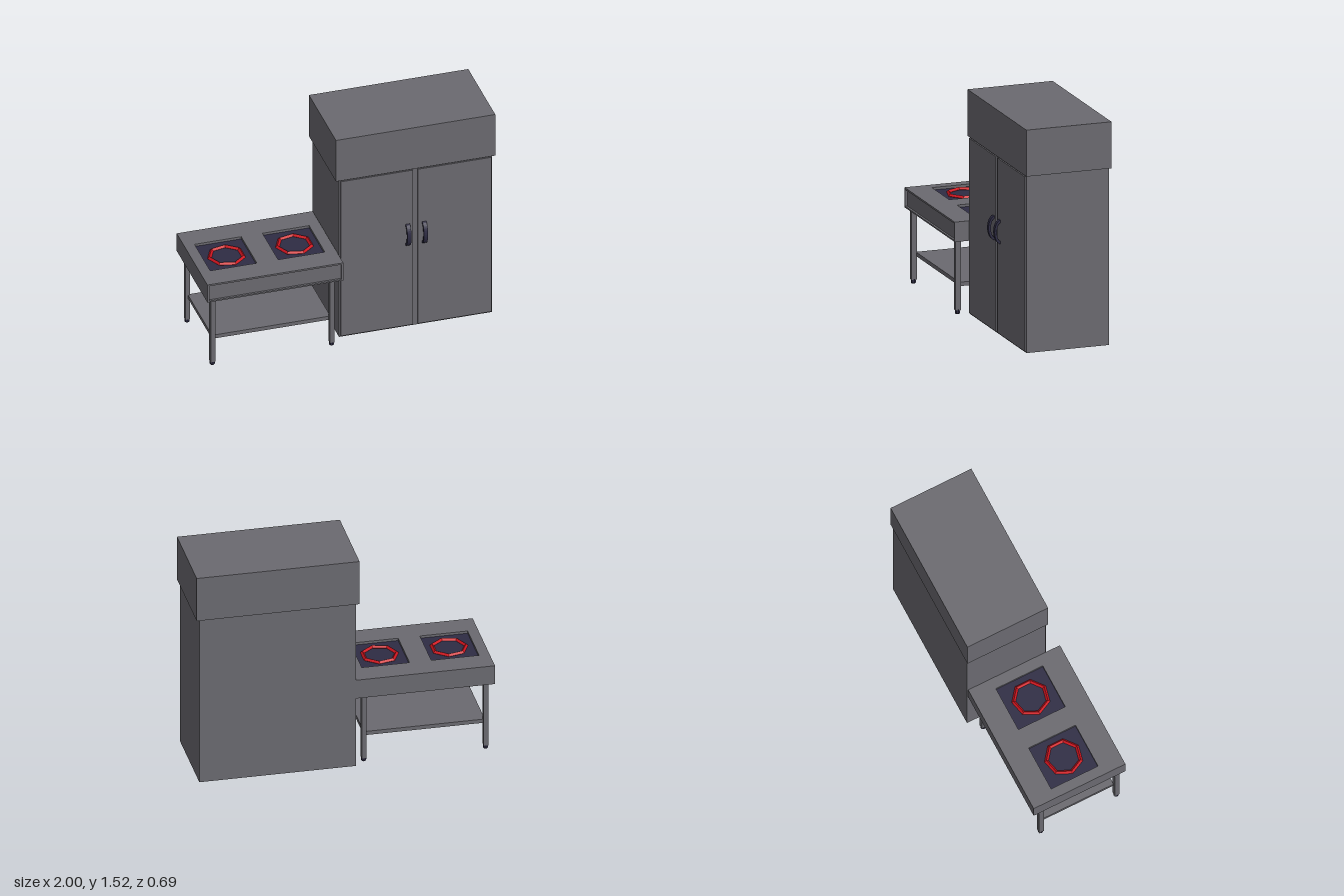
import * as THREE from 'three';

const paint = (color) => new THREE.MeshStandardMaterial({ color, flatShading: true });

export function createModel() {
  const model = new THREE.Group();
  const steel = paint(0x6b6a70), dark = paint(0x2e2c44), red = paint(0xd0141e);

  const add = (parent, name, geometry, material) => {
    const mesh = new THREE.Mesh(geometry, material);
    mesh.name = name;
    parent.add(mesh);
    return mesh;
  };
  // Box given by its two extreme corners
  const box = (parent, name, x0, x1, y0, y1, z0, z1, material = steel) =>
    add(parent, name, new THREE.BoxGeometry(x1 - x0, y1 - y0, z1 - z0), material)
      .position.set((x0 + x1) / 2, (y0 + y1) / 2, (z0 + z1) / 2);
  const rect = (target, x0, x1, y0, y1) => {
    target.moveTo(x0, y0).lineTo(x1, y0).lineTo(x1, y1).lineTo(x0, y1).closePath();
    return target;
  };
  // Flat panel with rectangular openings
  const panel = (outer, holes, depth) => {
    const shape = rect(new THREE.Shape(), ...outer);
    holes.forEach((h) => shape.holes.push(rect(new THREE.Path(), ...h)));
    return new THREE.ExtrudeGeometry(shape, { depth, bevelEnabled: false });
  };

  // Cooking table
  const table = new THREE.Group();
  table.name = 'cookingTable';
  model.add(table);
  box(table, 'tableBody', -1, -0.07, 0.505, 0.62, -0.33, 0.33);
  const front = add(table, 'frontFrame',
    panel([-1, -0.07, 0.505, 0.64], [[-0.987, -0.083, 0.515, 0.628]], 0.015), steel);
  front.position.z = 0.33;

  const plates = [[-0.93, -0.61], [-0.465, -0.145]];
  const top = panel([-1, -0.07, -0.33, 0.33], plates.map(([a, b]) => [a, b, -0.18, 0.165]), 0.02);
  add(table, 'tableTop', top.rotateX(-Math.PI / 2), steel).position.y = 0.62;

  // Sunken hob plates with a seven-sided heating ring each
  plates.forEach(([a, b]) => {
    box(table, 'hobPlate', a, b, 0.615, 0.623, -0.165, 0.18, dark);
    const ring = new THREE.TorusGeometry(0.115, 0.014, 4, 7).rotateX(Math.PI / 2).rotateY(Math.PI);
    add(table, 'heatingRing', ring, red).position.set((a + b) / 2 + 0.003, 0.626, 0.01);
  });

  // Legs with rounded feet, and the lower shelf
  for (const x of [-0.953, -0.137]) {
    for (const z of [0.301, -0.255]) {
      box(table, 'leg', x - 0.016, x + 0.016, 0.025, 0.51, z - 0.018, z + 0.018);
      add(table, 'foot', new THREE.CylinderGeometry(0.018, 0.018, 0.022, 8), dark).position.set(x, 0.019, z);
      add(table, 'footTip', new THREE.CylinderGeometry(0.018, 0.013, 0.008, 8), dark).position.set(x, 0.004, z);
    }
  }
  box(table, 'shelf', -0.95, -0.14, 0.183, 0.21, -0.25, 0.285);

  // Tall cabinet with an overhanging top box
  const cabinet = new THREE.Group();
  cabinet.name = 'cabinet';
  model.add(cabinet);
  box(cabinet, 'cabinetBody', -0.067, 0.98, 0.01, 1.212, -0.337, 0.24);
  box(cabinet, 'topBox', -0.09, 1, 1.21, 1.525, -0.346, 0.248);

  // Curved handle: half-oval band lying in the side plane
  const band = new THREE.Shape();
  band.absellipse(0, 0, 0.045, 0.082, -Math.PI / 2, Math.PI / 2, false);
  band.absellipse(0, 0, 0.029, 0.064, Math.PI / 2, -Math.PI / 2, true);
  band.closePath();
  const handle = new THREE.ExtrudeGeometry(band, { depth: 0.028, bevelEnabled: false, curveSegments: 8 })
    .translate(0, 0, -0.014).rotateY(-Math.PI / 2);

  [[-0.057, 0.437, 0.4], [0.47, 0.973, 0.513]].forEach(([a, b, hx]) => {
    box(cabinet, 'door', a, b, 0.02, 1.203, 0.235, 0.25);
    add(cabinet, 'doorHandle', handle, dark).position.set(hx, 0.715, 0.246);
  });

  return model;
}
